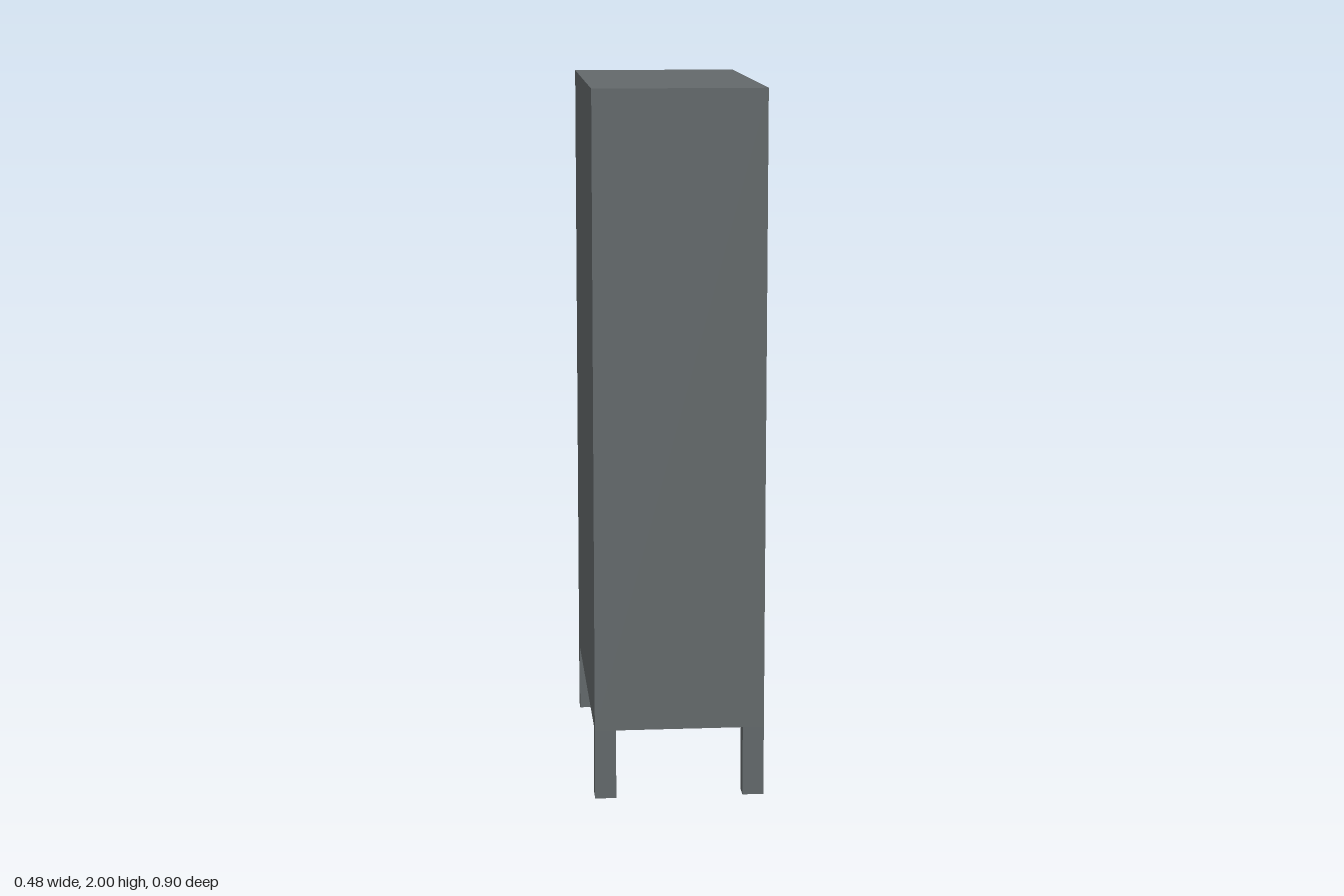
import * as THREE from 'three';

export function createModel() {
  const group = new THREE.Group();
  group.name = 'cabinet';
  const grey = new THREE.MeshStandardMaterial({ color: 0x63696b });
  grey.name = 'slate grey';

  // Box given by its minimum and maximum corners
  const box = (name, x0, x1, y0, y1, z0, z1) => {
    const mesh = new THREE.Mesh(new THREE.BoxGeometry(x1 - x0, y1 - y0, z1 - z0), grey);
    mesh.position.set((x0 + x1) / 2, (y0 + y1) / 2, (z0 + z1) / 2);
    mesh.name = name;
    group.add(mesh);
  };

  const X = 0.24, Z = 0.452;             // outer half sizes
  const inZ = 0.4, low = 0.265, high = 1.95; // opening
  const base = 0.2, backX = -0.21, shelfX = 0.207, half = 0.018;

  // Carcass: a hollow frame open towards +x, extruded across the depth
  const rect = (path, z, y0, y1) =>
    path.moveTo(-z, y0).lineTo(z, y0).lineTo(z, y1).lineTo(-z, y1).closePath();
  const outline = rect(new THREE.Shape(), Z, base, 2);
  outline.holes.push(rect(new THREE.Path(), inZ, low, high));
  const frameGeometry = new THREE.ExtrudeGeometry(outline, { depth: 2 * X, bevelEnabled: false });
  frameGeometry.translate(0, 0, -X).rotateY(Math.PI / 2);
  const frame = new THREE.Mesh(frameGeometry, grey);
  frame.name = 'carcassFrame';
  group.add(frame);

  // Back panel and upright divider
  box('backPanel', -X, backX, low, high, -inZ, inZ);
  box('divider', backX, shelfX, low, high, -half, half);

  // Three shelves in each bay, set back from the opening
  for (const y of [0.551, 0.882, 1.642]) {
    box('leftShelf', backX, shelfX, y, y + 0.03, half, inZ);
    box('rightShelf', backX, shelfX, y, y + 0.03, -inZ, -half);
  }

  // Four corner legs
  for (const sx of [-1, 1]) for (const sz of [-1, 1]) {
    const xs = [sx * 0.18, sx * X].sort((a, b) => a - b);
    const zs = [sz * inZ, sz * Z].sort((a, b) => a - b);
    box('leg', xs[0], xs[1], 0, base, zs[0], zs[1]);
  }
  return group;
}
